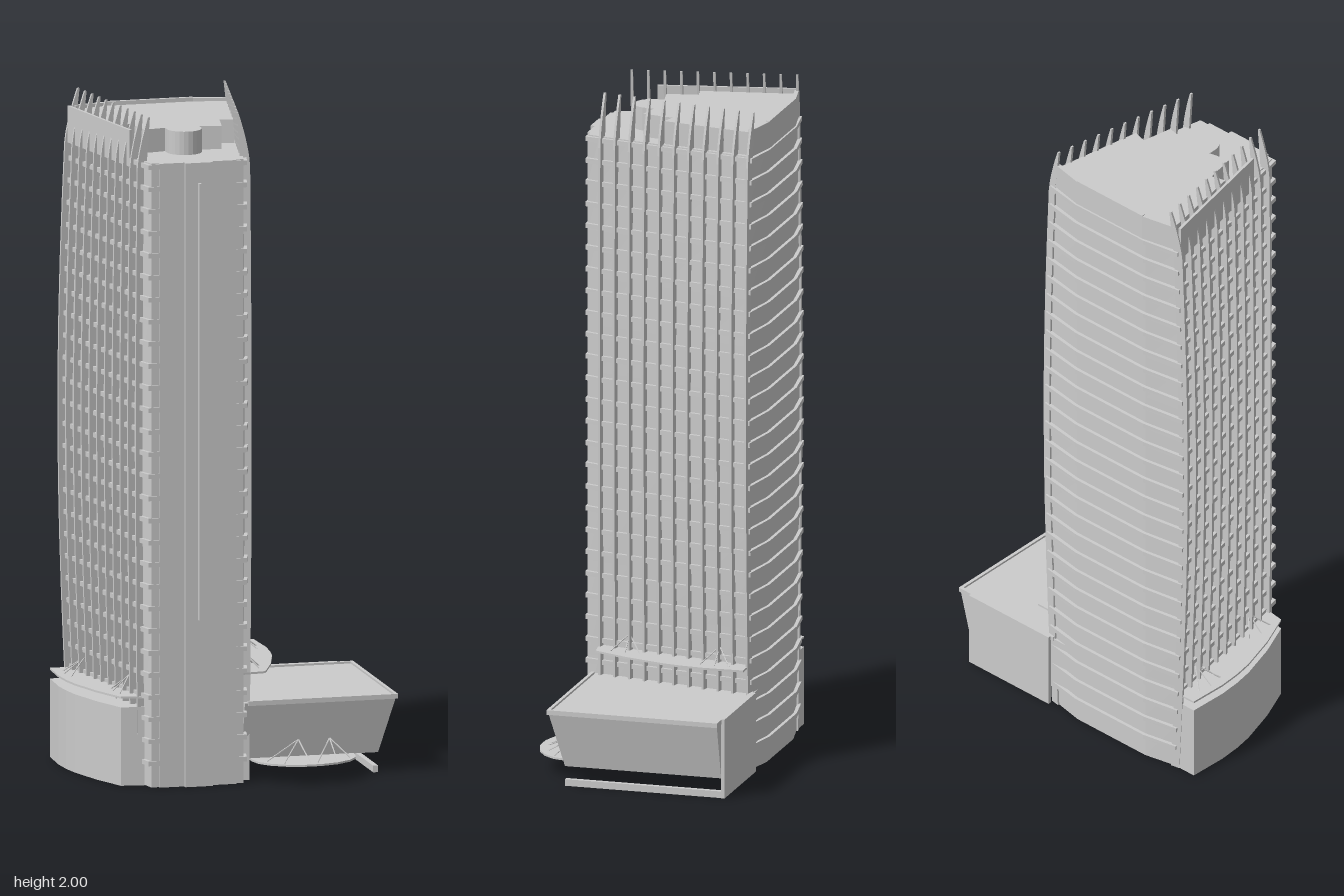
import * as THREE from 'three';

const CX = -0.15; // tower axis
const material = new THREE.MeshStandardMaterial({ color: 0xcccccc, flatShading: true });
const shellMaterial = new THREE.MeshStandardMaterial({ color: 0xcccccc, flatShading: true, side: THREE.DoubleSide });

// Solid through horizontal outlines: outline(y) gives [[x, z], ...]
function loft(outline, ys, openBottom = false) {
  const rings = ys.map((y) => {
    const pts = outline(y).map(([x, z]) => new THREE.Vector2(x, -z));
    return THREE.ShapeUtils.isClockWise(pts) ? pts.reverse() : pts;
  });
  const n = rings[0].length, pos = [], idx = [];
  rings.forEach((r, k) => r.forEach((p) => pos.push(p.x, ys[k], -p.y)));
  for (let k = 0; k < ys.length - 1; k++) {
    for (let i = 0; i < n; i++) {
      const a = k * n + i, b = k * n + (i + 1) % n;
      idx.push(a, b, b + n, a, b + n, a + n);
    }
  }
  const top = (ys.length - 1) * n;
  THREE.ShapeUtils.triangulateShape(rings[rings.length - 1], []).forEach(([a, b, c]) => idx.push(top + a, top + b, top + c));
  if (!openBottom) THREE.ShapeUtils.triangulateShape(rings[0], []).forEach(([a, b, c]) => idx.push(a, c, b));
  const g = new THREE.BufferGeometry();
  g.setAttribute('position', new THREE.Float32BufferAttribute(pos, 3));
  g.setIndex(idx);
  const flat = g.toNonIndexed();
  flat.computeVertexNormals();
  return flat;
}

function add(parent, name, geometry, mat = material) {
  const mesh = new THREE.Mesh(geometry, mat);
  mesh.name = name;
  parent.add(mesh);
  return mesh;
}

function box(parent, name, x0, x1, y0, y1, z0, z1) {
  const m = add(parent, name, new THREE.BoxGeometry(x1 - x0, y1 - y0, z1 - z0));
  m.position.set((x0 + x1) / 2, (y0 + y1) / 2, (z0 + z1) / 2);
  return m;
}

function rod(parent, name, a, b, r = 0.002) {
  const p = new THREE.Vector3(...a), q = new THREE.Vector3(...b), d = q.clone().sub(p);
  const m = add(parent, name, new THREE.CylinderGeometry(r, r, d.length(), 5));
  m.position.copy(p).add(q).multiplyScalar(0.5);
  m.quaternion.setFromUnitVectors(new THREE.Vector3(0, 1, 0), d.normalize());
}

const range = (n, a, b) => Array.from({ length: n }, (_, i) => a + (b - a) * i / (n - 1));

// Half width of the tower: wedge in plan, bulging at mid height towards the back
function halfWidth(z, y) {
  const t = (0.2 - z) / 0.49;
  return 0.147 + 0.085 * t + 0.033 * Math.sin(Math.PI * y / 2.1) * (0.2 + 0.8 * t);
}

function towerOutline(y, off = 0) {
  const half = [[0.135, -0.31]];
  for (const z of [-0.29, -0.15, 0, 0.1, 0.2]) half.push([halfWidth(z, y) + off, z]);
  half[0][1] -= off;
  half[1][1] -= off;
  half.push([0.14 + off, 0.238 + off * 0.5]);
  return [...half.map(([x, z]) => [CX + x, z]), ...half.reverse().map(([x, z]) => [CX - x, z])];
}

// Blade fin that follows the flank and curls inwards to a tip above the roof
function finGeometry(side, z) {
  return loft((y) => {
    const w = halfWidth(z, y), u = Math.max(0, (y - 1.84) / 0.16);
    const outer = 0.021 - 0.033 * u ** 1.5;
    const inner = Math.min(-0.008 - 0.01 * u, outer - 0.005);
    const corner = (d, s) => [CX + side * (w + d * 0.983 - s * 0.18), z + d * 0.18 + s * 0.983];
    return [corner(inner, -0.0035), corner(outer, -0.0035), corner(outer, 0.0035), corner(inner, 0.0035)];
  }, [...range(12, 0, 1.84), ...range(6, 1.87, 2)]);
}

// Curved plan shared by the side canopies and the side annex
const sidePlan = (side) => [[0.22, -0.29], [0.31, -0.29], [0.315, -0.17], [0.31, -0.1], [0.3, -0.04], [0.265, 0.08],
  [0.22, 0.19], [0.15, 0.2]].map(([x, z]) => [CX + side * x, z]);

export function createModel() {
  const model = new THREE.Group();
  model.name = 'officeTower';

  // Tower body with floor ledges
  const tower = new THREE.Group();
  tower.name = 'tower';
  model.add(tower);
  add(tower, 'towerBody', loft((y) => towerOutline(y), range(14, 0, 1.87)));
  const floors = 28;
  for (let i = 0; i < floors; i++) {
    const y = 0.065 + i * 0.0662;
    add(tower, 'floorLedge', loft((h) => towerOutline(h, 0.01), [y, y + 0.014]));
  }

  // Front bay
  box(tower, 'frontWall', -0.267, -0.033, 0, 1.87, 0.2, 0.247);
  box(tower, 'frontBay', -0.192, -0.108, 0, 1.87, 0.2, 0.26);
  box(tower, 'frontFin', -0.153, -0.147, 0.5, 1.81, 0.25, 0.277);

  // Flank fins
  for (const side of [-1, 1]) {
    for (const z of range(11, -0.292, 0.19)) add(tower, 'flankFin', finGeometry(side, z));
  }

  // Stepped roof block with a round front
  const arc = range(13, 0, Math.PI).map((a) => [0.052 * Math.cos(a), 0.085 + 0.052 * Math.sin(a)]);
  const roofHalf = [[0.135, -0.31], [0.228, -0.288], [0.178, -0.008], [0.135, -0.02], [0.117, 0.075], [0.052, 0.062]];
  const roofPlan = [...roofHalf, ...arc, ...roofHalf.slice().reverse().map(([x, z]) => [-x, z])];
  add(tower, 'roofBlock', loft(() => roofPlan.map(([x, z]) => [CX + x, z]), [1.86, 1.94]));
  box(tower, 'rearParapet', -0.28, -0.02, 1.87, 1.952, -0.318, -0.306);
  for (const s of [-1, 1]) {
    add(tower, 'rearParapetWing', loft(() => [[0.13, -0.318], [0.238, -0.296], [0.234, -0.284], [0.13, -0.306]]
      .map(([x, z]) => [CX + s * x, z]), [1.87, 1.95]));
  }

  // Blank panel across the top of the right-hand fins
  add(tower, 'sidePanel', loft(() => [[-0.407, -0.288], [-0.399, -0.29], [-0.317, 0.118], [-0.325, 0.12]], [1.84, 1.95]));

  // Side canopies on tie rods
  for (const [side, y] of [[1, 0.32], [-1, 0.265]]) {
    const canopy = new THREE.Group();
    canopy.name = 'sideCanopy';
    model.add(canopy);
    add(canopy, 'canopyPlate', loft(() => sidePlan(side), [y - 0.004, y + 0.002]));
    for (const z of [0.1, -0.195]) {
      const wall = halfWidth(z, y) + 0.003, out = z > 0 ? 0.225 : 0.295;
      for (const dz of [-0.045, 0, 0.05]) {
        rod(canopy, 'canopyTie', [CX + side * wall, y + 0.048, z], [CX + side * (out - Math.abs(dz) * 0.2), y, z + dz]);
      }
    }
  }

  // Curved annex, open underneath
  add(model, 'curvedAnnex', loft(() => sidePlan(-1), [0, 0.235], true), shellMaterial);

  // Raised podium with outward leaning walls
  const podium = new THREE.Group();
  podium.name = 'podium';
  model.add(podium);
  add(podium, 'podiumHall', loft((y) => {
    const t = (y - 0.06) / 0.18;
    const x = 0.415 + 0.047 * t, z = 0.18 + 0.04 * t;
    return [[0, -0.3], [x, -0.3], [x, z], [0, z]];
  }, [0.06, 0.234]));
  box(podium, 'roofRim', 0.455, 0.465, 0.226, 0.24, -0.3, 0.222);
  box(podium, 'roofRim', 0.01, 0.465, 0.226, 0.24, 0.212, 0.222);
  box(podium, 'roofRim', 0.09, 0.465, 0.226, 0.24, -0.302, -0.292);
  box(podium, 'rearWall', 0.1, 0.417, 0, 0.24, -0.311, -0.3);
  box(podium, 'floorKerb', 0.4, 0.415, 0, 0.02, -0.3, 0.18);

  // Scalloped entrance canopy on tie rods
  const entrance = new THREE.Group();
  entrance.name = 'entranceCanopy';
  model.add(entrance);
  const fan = range(10, 0, Math.PI).map((a) => [0.183 + 0.157 * Math.cos(a), 0.2 + 0.12 * Math.sin(a)]);
  add(entrance, 'canopyPlate', loft(() => [[0.34, 0.17], ...fan, [0.026, 0.17]], [0.055, 0.061]));
  for (const [x, ends] of [[0.17, [[0.06, 0.24], [0.1, 0.29], [0.18, 0.295]]], [0.265, [[0.2, 0.295], [0.265, 0.28], [0.315, 0.245]]]]) {
    for (const [ex, ez] of ends) rod(entrance, 'canopyTie', [x, 0.112, 0.19], [ex, 0.06, ez]);
  }
  return model;
}
